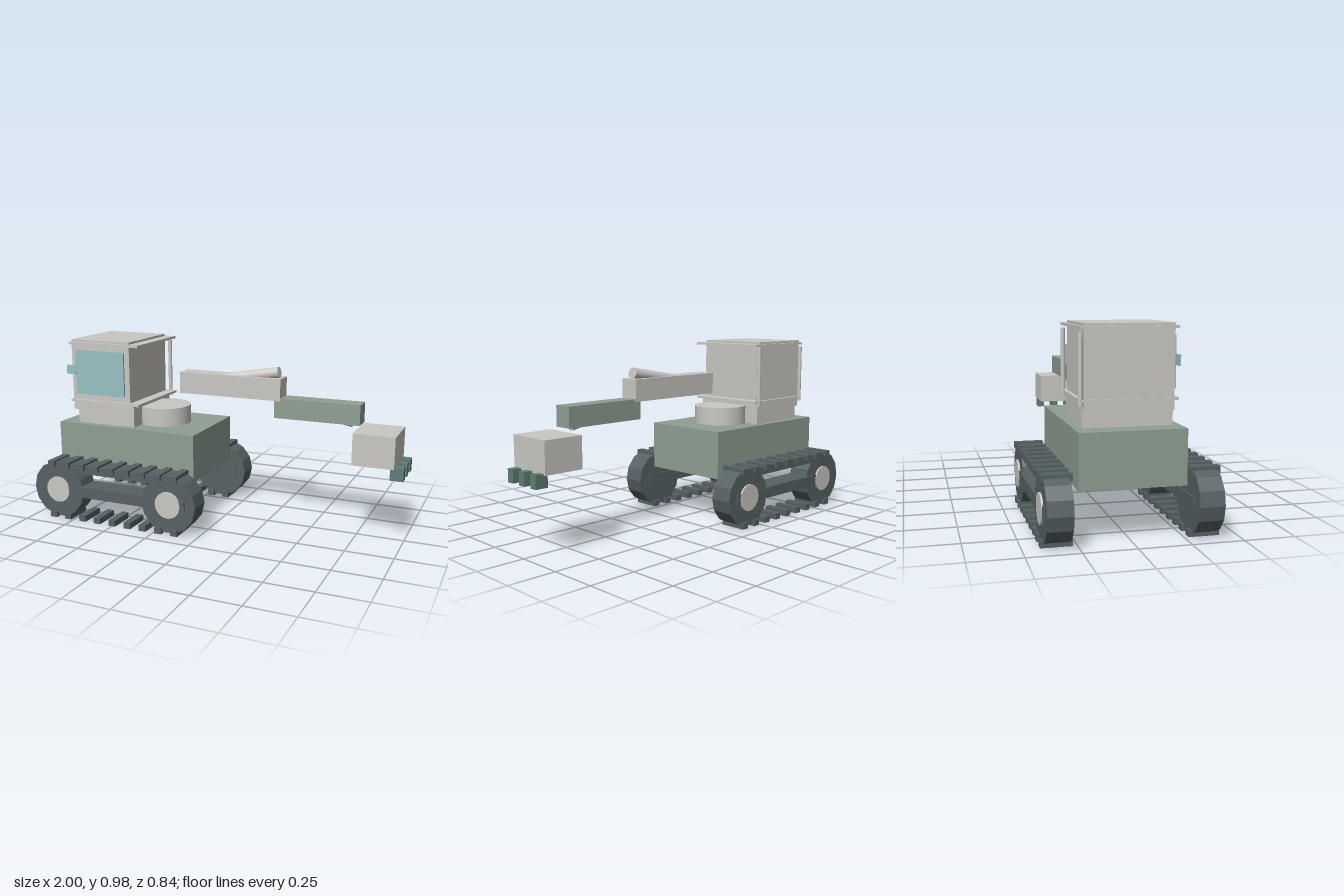
import * as THREE from 'three';

const paint = (name, color) => {
  const m = new THREE.MeshStandardMaterial({ color });
  m.name = name;
  return m;
};

export function createModel() {
  const model = new THREE.Group();
  model.name = 'excavator';
  const grey = paint('light grey', 0xc9c8c3);
  const green = paint('sage green', 0x8e9f92);
  const dark = paint('dark track', 0x566163);
  const glass = paint('window blue', 0x97c1c4);
  const toothGreen = paint('tooth green', 0x5f7d75);
  dark.flatShading = true;

  const add = (parent, name, geo, mat) => {
    const mesh = new THREE.Mesh(geo, mat);
    mesh.name = name;
    parent.add(mesh);
    return mesh;
  };
  // Box given by its low and high limits on each axis
  const box = (parent, name, mat, [x0, x1], [y0, y1], [z0, z1]) => {
    const mesh = add(parent, name, new THREE.BoxGeometry(x1 - x0, y1 - y0, z1 - z0), mat);
    mesh.position.set((x0 + x1) / 2, (y0 + y1) / 2, (z0 + z1) / 2);
    return mesh;
  };
  // Cylinder lying along z
  const disc = (parent, name, mat, r, sides, x, y, z0, z1) => {
    const geo = new THREE.CylinderGeometry(r, r, z1 - z0, sides, 1, false, Math.PI / 2);
    const mesh = add(parent, name, geo.rotateX(Math.PI / 2), mat);
    mesh.position.set(x, y, (z0 + z1) / 2);
  };
  // Round rod between two points in the x-y plane
  const rod = (name, mat, r, [xa, ya], [xb, yb]) => {
    const dx = xb - xa, dy = yb - ya;
    const mesh = add(model, name, new THREE.CylinderGeometry(r, r, Math.hypot(dx, dy), 24), mat);
    mesh.position.set((xa + xb) / 2, (ya + yb) / 2, 0);
    mesh.rotation.z = Math.atan2(dy, dx) - Math.PI / 2;
  };

  // Tracks, one on each side; hubs sit on the outer face only
  for (const s of [1, -1]) {
    const track = new THREE.Group();
    track.name = s > 0 ? 'frontTrack' : 'backTrack';
    const span = (a, b) => (s > 0 ? [a, b] : [-b, -a]);
    for (const x of [-0.842, -0.162]) {
      disc(track, 'trackWheel', dark, 0.158, 14, x, 0.165, ...span(0.285, 0.404));
      disc(track, 'wheelHub', grey, 0.073, 16, x, 0.165, ...span(0.38, 0.414));
    }
    box(track, 'trackFrame', dark, [-0.935, -0.065], [0.136, 0.196], span(0.278, 0.411));
    box(track, 'upperBelt', dark, [-0.842, -0.162], [0.272, 0.316], span(0.285, 0.404));
    for (let i = 0; i < 9; i++) {
      const x = -0.877 + i * 0.094;
      for (const y of [0, 0.294])
        box(track, 'tread', dark, [x - 0.02, x + 0.02], [y, y + 0.033], span(0.27, 0.418));
    }
    model.add(track);
  }

  // Hull and turntable
  box(model, 'hull', green, [-0.92, -0.085], [0.25, 0.51], [-0.25, 0.25]);
  const table = add(model, 'turntable', new THREE.CylinderGeometry(0.148, 0.148, 0.1, 24), grey);
  table.position.set(-0.38, 0.56, 0);

  // Cabin with ledges, window and corner posts
  const cabin = new THREE.Group();
  cabin.name = 'cabin';
  model.add(cabin);
  box(cabin, 'cabinBase', grey, [-0.815, -0.46], [0.51, 0.64], [-0.213, 0.213]);
  box(cabin, 'cabinBody', grey, [-0.847, -0.483], [0.583, 0.977], [-0.209, 0.209]);
  for (const y of [0.63, 0.952])
    box(cabin, 'ledge', grey, [-0.853, -0.422], [y, y + 0.013], [-0.227, 0.227]);
  box(cabin, 'window', glass, [-0.815, -0.51], [0.677, 0.922], [0.216, 0.2255]);
  box(cabin, 'sideMirror', glass, [-0.872, -0.81], [0.785, 0.835], [0.219, 0.228]);
  for (const x of [-0.84, -0.457]) {
    const post = add(cabin, 'cornerPost', new THREE.CylinderGeometry(0.011, 0.011, 0.325, 12), grey);
    post.position.set(x, 0.778, -0.224);
  }

  // Arm with two rams
  box(model, 'boom', grey, [-0.257, 0.327], [0.692, 0.808], [-0.052, 0.052]);
  rod('boomRam', grey, 0.03, [0, 0.783], [0.303, 0.836]);
  box(model, 'stick', green, [0.293, 0.754], [0.6, 0.706], [-0.05, 0.05]);
  rod('stickRam', grey, 0.023, [0.37, 0.667], [0.708, 0.602]);

  // Bucket and teeth
  box(model, 'bucket', grey, [0.737, 0.952], [0.412, 0.577], [-0.125, 0.125]);
  for (const z of [-0.092, 0, 0.092])
    box(model, 'bucketTooth', toothGreen, [0.93, 0.998], [0.352, 0.42], [z - 0.021, z + 0.021]);

  return model;
}
